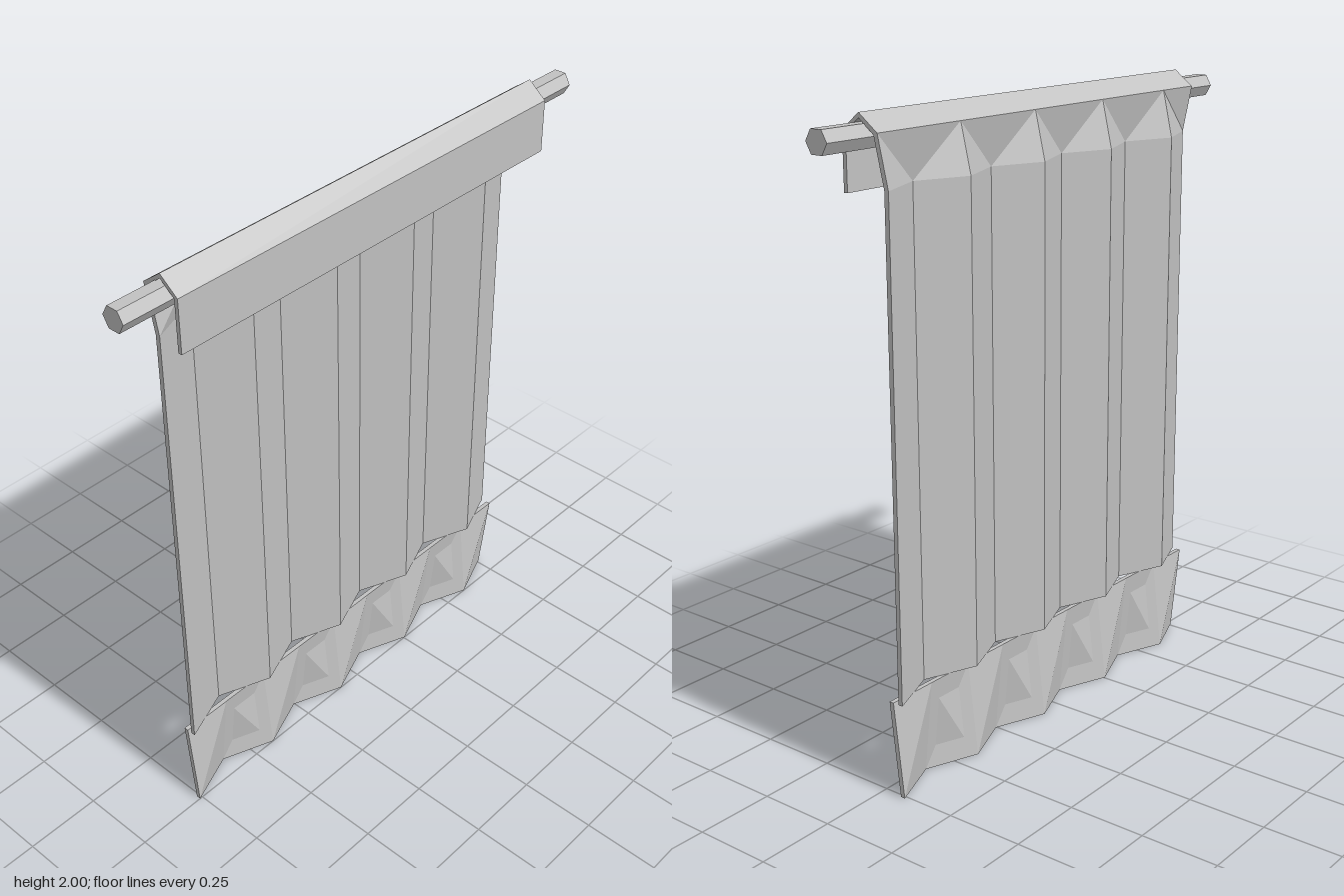
import * as THREE from 'three';

const HALF = 0.76;      // half width of the cloth
const PLEATS = 9;       // flat panels across the cloth
const THICK = 0.015;    // cloth thickness

const foldX = i => -HALF + (2 * HALF * i) / PLEATS;
const zigzag = i => (i % 2 ? -0.066 : 0);
const straight = () => -0.031;

// Thick sheet between two rows of fold points. riseFront/riseBack(i) tell
// whether panel i is split from its lower left to its upper right corner.
function pleatedSheet(yLow, zLow, yHigh, zHigh, riseFront, riseBack, caps) {
  const pos = [];
  const tri = (...pts) => pts.forEach(p => pos.push(...p));
  const quad = (a, b, c, d, rise = true) => {
    if (rise) { tri(a, b, c); tri(a, c, d); } else { tri(a, b, d); tri(b, c, d); }
  };
  const low = (i, t) => [foldX(i), yLow, zLow(i) - t];
  const high = (i, t) => [foldX(i), yHigh, zHigh(i) - t];
  for (let i = 0; i < PLEATS; i++) {
    const j = i + 1;
    quad(low(i, 0), low(j, 0), high(j, 0), high(i, 0), riseFront(i));
    quad(low(j, THICK), low(i, THICK), high(i, THICK), high(j, THICK), !riseBack(i));
    if (caps.top) quad(high(i, 0), high(j, 0), high(j, THICK), high(i, THICK));
    if (caps.bottom) quad(low(i, THICK), low(j, THICK), low(j, 0), low(i, 0));
  }
  // Side edges
  quad(low(0, THICK), low(0, 0), high(0, 0), high(0, THICK));
  quad(low(PLEATS, 0), low(PLEATS, THICK), high(PLEATS, THICK), high(PLEATS, 0));
  const geo = new THREE.BufferGeometry();
  geo.setAttribute('position', new THREE.Float32BufferAttribute(pos, 3));
  geo.computeVertexNormals();
  return geo;
}

export function createModel() {
  const group = new THREE.Group();
  const cloth = new THREE.MeshStandardMaterial({ color: 0xc2c2c2, flatShading: true, side: THREE.DoubleSide });
  cloth.name = 'light grey';

  const add = (name, geo) => {
    const mesh = new THREE.Mesh(geo, cloth);
    mesh.name = name;
    group.add(mesh);
    return mesh;
  };
  const always = () => true, never = () => false, even = i => i % 2 === 0;

  // Hanging pleats, gathered to a straight line at the top
  add('pleatedPanel', pleatedSheet(0.3, zigzag, 1.8, zigzag, always, always, { bottom: true }));
  add('gatheredTop', pleatedSheet(1.8, zigzag, 1.95, straight, even, even, { top: true }));

  // Flared hem
  add('hem', pleatedSheet(0, zigzag, 0.3, straight, always, never, { top: true, bottom: true }));

  // Flap folded over the rod, profile in (z, y)
  const profile = [
    [0.082, 1.78], [0.082, 1.95], [0.02, 2.0], [-0.046, 1.95],
    [-0.031, 1.945], [0.02, 1.985], [0.069, 1.945], [0.069, 1.78],
  ].map(p => new THREE.Vector2(...p));
  const flap = new THREE.ExtrudeGeometry(new THREE.Shape(profile), { depth: 2 * HALF, bevelEnabled: false });
  flap.translate(0, 0, -HALF).rotateY(-Math.PI / 2);
  add('foldedFlap', flap);

  // Six-sided rod
  const rod = add('rod', new THREE.CylinderGeometry(0.039, 0.039, 1.84, 6).rotateZ(Math.PI / 2));
  rod.position.set(0, 1.938, 0.019);

  return group;
}
